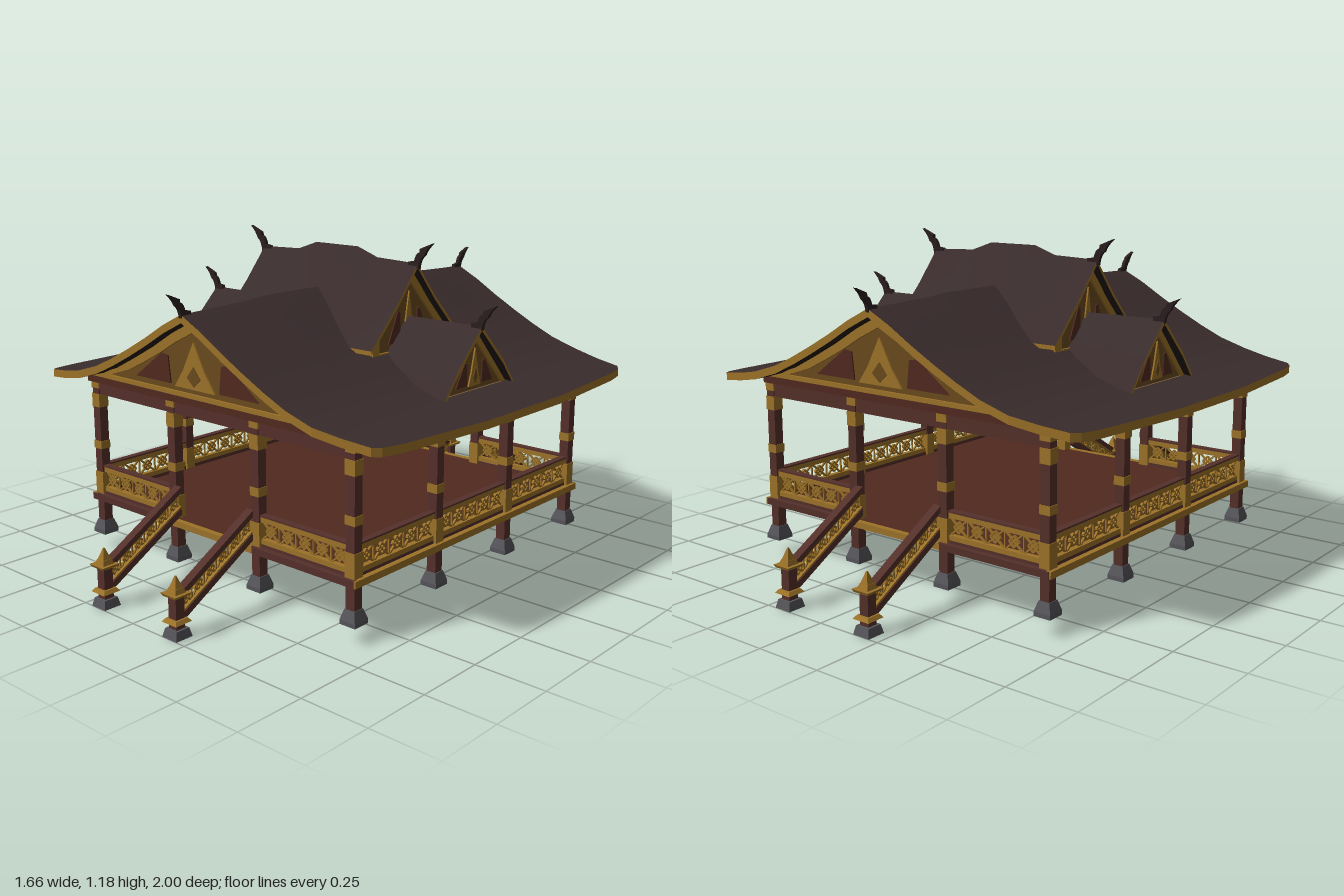
import * as THREE from 'three';
import { mergeGeometries, toCreasedNormals } from 'three/addons/utils/BufferGeometryUtils.js';

const mat = (name, color, double) => {
  const m = new THREE.MeshStandardMaterial({ color });
  m.name = name;
  if (double) m.side = THREE.DoubleSide;
  return m;
};

// Piecewise linear lookup, mirrored about zero
const lookup = (pts, t) => {
  t = Math.abs(t);
  for (let i = 1; i < pts.length; i++) {
    const [a, ya] = pts[i - 1], [b, yb] = pts[i];
    if (t <= b) return ya + (yb - ya) * (t - a) / (b - a);
  }
  return pts[pts.length - 1][1];
};
const mirrored = (half) => [...half.slice(1).reverse().map((v) => -v), ...half];
const box = (w, h, d, x, y, z) => new THREE.BoxGeometry(w, h, d).translate(x, y, z);

export function createModel() {
  const M = {
    roof: mat('dark roof tile', 0x3a2c2d),
    under: mat('roof underside', 0x241a16),
    gold: mat('gold trim', 0x9c7228, true),
    carved: mat('carved dull gold', 0x6a4a1e),
    wood: mat('brown wood', 0x55302a),
    floor: mat('red floor', 0x50291f),
    stone: mat('grey stone', 0x55555a),
    horn: mat('dark horn', 0x2a1e1f),
  };
  const model = new THREE.Group();
  model.name = 'pavilion';
  const add = (name, geos, m, parent = model) => {
    const mesh = new THREE.Mesh(Array.isArray(geos) ? mergeGeometries(geos) : geos, m);
    mesh.name = name;
    parent.add(mesh);
    return mesh;
  };
  const group = (name, parent = model) => {
    const g = new THREE.Group();
    g.name = name;
    parent.add(g);
    return g;
  };

  // Curved roof slab: tiled top, dark underside and gold rim
  const roofSlab = (name, us, vs, pos, thick) => {
    const g = group(name), nu = us.length, nv = vs.length;
    const sheet = (drop, flip) => {
      const p = [], idx = [];
      us.forEach((u) => vs.forEach((v) => { const [x, y, z] = pos(u, v); p.push(x, y - drop, z); }));
      for (let i = 0; i < nu - 1; i++) for (let j = 0; j < nv - 1; j++) {
        const a = i * nv + j, b = a + 1, c = a + nv, d = c + 1;
        idx.push(...(flip ? [a, c, b, b, c, d] : [a, b, c, b, d, c]));
      }
      const geo = new THREE.BufferGeometry();
      geo.setAttribute('position', new THREE.Float32BufferAttribute(p, 3));
      geo.setIndex(idx);
      return toCreasedNormals(geo, 0.35);
    };
    add('tiles', sheet(0, false), M.roof, g);
    add('soffit', sheet(thick, true), M.under, g);
    const ring = [...us.map((u) => [u, 1]), ...[...vs].reverse().map((v) => [1, v]),
      ...[...us].reverse().map((u) => [u, -1]), ...vs.map((v) => [-1, v])].map(([u, v]) => pos(u, v));
    const p = [];
    ring.forEach((a, i) => {
      const b = ring[(i + 1) % ring.length];
      if (a.every((c, k) => c === b[k])) return;
      const al = [a[0], a[1] - thick, a[2]], bl = [b[0], b[1] - thick, b[2]];
      p.push(...a, ...al, ...b, ...b, ...al, ...bl);
    });
    const rim = new THREE.BufferGeometry();
    rim.setAttribute('position', new THREE.Float32BufferAttribute(p, 3));
    rim.computeVertexNormals();
    add('rim', rim, M.gold, g);
    return g;
  };

  // Main roof with its ridge along z
  const mainProfile = [[0, 0.985], [0.1, 0.935], [0.2, 0.875], [0.3, 0.822], [0.4, 0.772], [0.5, 0.73], [0.62, 0.702], [0.83, 0.675]];
  const eaveX = [[0, 0.83], [0.3, 0.83], [0.85, 0.8], [0.96, 0.785], [1, 0.765]];
  const eaveZ = [[0, 0.755], [0.74, 0.752], [1, 0.715]];
  roofSlab('mainRoof', mirrored([0, 0.12, 0.24, 0.36, 0.48, 0.6, 0.74, 0.87, 1]),
    mirrored([0, 0.3, 0.49, 0.6, 0.85, 0.96, 1]), (u, v) => {
      const x = u * lookup(eaveX, v), z = v * lookup(eaveZ, u);
      const lift = lookup([[0, 0.015], [0.37, 0.015], [0.5, 0.005], [0.75, 0]], z) * Math.max(0, 1 - Math.abs(x) / 0.2);
      return [x, lookup(mainProfile, x) + lift, z];
    }, 0.028);

  // Two tiers of cross roofs with ridges along x
  const crossRoof = (name, profile, width, length, ridge) => {
    roofSlab(name, mirrored(profile.map(([d]) => d / width)), mirrored(ridge.map(([d]) => d / length)), (u, v) => {
      const lift = lookup(ridge, v * length) * (1 - Math.abs(u));
      return [u * width, lookup(profile, u * width) + lift, v * length];
    }, 0.015).rotation.y = Math.PI / 2;
  };
  crossRoof('upperCrossRoof', [[0, 1.105], [0.1, 0.985], [0.245, 0.835]], 0.245, 0.37,
    [[0, 0.037], [0.1, 0.037], [0.19, 0.006], [0.37, 0]]);
  crossRoof('lowerCrossRoof', [[0, 0.92], [0.13, 0.79], [0.2, 0.7]], 0.2, 0.645, [[0, 0], [0.645, 0]]);
  add('upperCrossWalls', [1, -1].map((s) => box(0.64, 0.07, 0.02, 0, 0.825, s * 0.19)), M.wood);

  // Carved gable: back plate, gold frame, side panels, centre ornament
  const pediment = (name, half, dist, angle) => {
    const g = group(name);
    g.rotation.y = angle;
    const base = half[0][1], apex = half[half.length - 1][1], w = half[0][0], h = apex - base;
    const pts = [...half, ...half.slice(0, -1).reverse().map(([x, y]) => [-x, y])];
    const poly = (list) => new THREE.Shape(list.map(([x, y]) => new THREE.Vector2(x, y)));
    const plate = (shape, depth, z) => new THREE.ExtrudeGeometry(shape, { depth, bevelEnabled: false }).translate(0, 0, z);
    const at = (list) => list.map(([x, y]) => [x * w, base + y * h]);
    add('gableBack', plate(poly(pts), 0.015, dist - 0.015), M.carved, g);
    const frame = poly(pts), cy = base + 0.3 * h;
    frame.holes.push(new THREE.Path(pts.map(([x, y]) => new THREE.Vector2(x * 0.82, cy + (y - cy) * 0.8))));
    add('gableFrame', plate(frame, 0.009, dist), M.gold, g);
    const side = [[0.22, 0.14], [0.55, 0.14], [0.3, 0.52], [0.24, 0.5]];
    add('sidePanels', [1, -1].map((s) => plate(poly(at(side.map(([x, y]) => [s * x, y]))), 0.005, dist)), M.floor, g);
    add('centreOrnament', plate(poly(at([[-0.18, 0.12], [0.18, 0.12], [0.1, 0.35], [0, 0.74], [-0.1, 0.35]])), 0.006, dist), M.gold, g);
    add('centreDiamond', plate(poly(at([[0, 0.16], [0.06, 0.27], [0, 0.42], [-0.06, 0.27]])), 0.003, dist + 0.006), M.carved, g);
  };
  // Upswept horn at each ridge end
  const horn = (x, y, angle, s) => {
    const sh = new THREE.Shape();
    sh.moveTo(-0.04, -0.012);
    sh.lineTo(0.008, -0.02);
    sh.quadraticCurveTo(0.012, 0.02, 0.034, 0.032);
    sh.quadraticCurveTo(0.04, 0.052, 0.07, 0.078);
    sh.quadraticCurveTo(0.035, 0.064, 0.014, 0.055);
    sh.lineTo(0.012, 0.042);
    sh.quadraticCurveTo(-0.005, 0.038, -0.012, 0.008);
    sh.lineTo(-0.04, 0.004);
    const geo = new THREE.ExtrudeGeometry(sh, { depth: 0.014, bevelEnabled: false, curveSegments: 4 });
    geo.translate(0, 0, -0.007).scale(s, s, 1).translate(x, y, 0).rotateY(angle);
    add('ridgeHorn', geo, M.horn);
  };
  for (const s of [0, Math.PI]) {
    pediment('mainGable', [[0.54, 0.695], [0.4, 0.742], [0.3, 0.792], [0.2, 0.845], [0.1, 0.905], [0, 0.955]], 0.7, s);
    pediment('upperGable', [[0.2, 0.79], [0.2, 0.865], [0, 1.085]], 0.33, s + Math.PI / 2);
    pediment('lowerGable', [[0.19, 0.69], [0, 0.9]], 0.615, s + Math.PI / 2);
    horn(0.75, 0.99, s + Math.PI / 2, 0.85);
    horn(0.37, 1.105, s, 0.95);
    horn(0.64, 0.925, s, 0.9);
  }

  // Deck, edge trim and roof beams
  const bays = [-0.62, -0.205, 0.205, 0.62];
  add('deck', box(1.28, 0.02, 1.28, 0, 0.203, 0), M.floor);
  add('sideDeckTrim', [1, -1].map((s) => box(0.02, 0.024, 1.3, s * 0.642, 0.204, 0)), M.gold);
  add('frontDeckTrim', [1, -1].flatMap((s) => [1, -1].map((t) => box(0.45, 0.024, 0.02, s * 0.42, 0.204, t * 0.642))), M.wood);
  add('entranceTrim', [1, -1].map((t) => box(0.4, 0.022, 0.022, 0, 0.204, t * 0.642)), M.gold);
  add('crossBeams', bays.map((z) => box(1.24, 0.065, 0.028, 0, 0.633, z)), M.wood);
  add('longBeams', bays.map((x) => box(0.028, 0.03, 1.24, x, 0.662, 0)), M.wood);
  add('gableFascia', [1, -1].map((s) => box(1.16, 0.03, 0.02, 0, 0.682, s * 0.69)), M.floor);

  // Perimeter posts on stone feet
  const foot = (w1, w2, h, x, y, z) =>
    new THREE.CylinderGeometry(w1 / Math.SQRT2, w2 / Math.SQRT2, h, 4).toNonIndexed().rotateY(Math.PI / 4).translate(x, y, z);
  const flat = (g) => { g.computeVertexNormals(); return g; };
  const posts = [], bands = [], feet = [];
  for (const x of bays) for (const z of bays) {
    if (Math.abs(x) < 0.5 && Math.abs(z) < 0.5) continue;
    posts.push(box(0.036, 0.57, 0.036, x, 0.39, z));
    for (const [y0, y1] of [[0.215, 0.3], [0.39, 0.42], [0.55, 0.6], [0.622, 0.685]])
      bands.push(box(0.041, y1 - y0, 0.041, x, (y0 + y1) / 2, z));
    feet.push(flat(foot(0.042, 0.064, 0.035, x, 0.0925, z)), flat(foot(0.064, 0.064, 0.015, x, 0.0675, z)));
  }
  add('posts', posts, M.wood);
  add('postBands', bands, M.gold);
  add('postFeet', feet, M.stone);

  // Lattice panel along local +x, starting at the origin
  const lattice = (len, h, cells) => {
    const out = [], c = len / cells;
    const bar = (x1, y1, x2, y2, w, d) => {
      const dx = x2 - x1, dy = y2 - y1;
      out.push(new THREE.BoxGeometry(Math.hypot(dx, dy), w, d).rotateZ(Math.atan2(dy, dx)).translate((x1 + x2) / 2, (y1 + y2) / 2, 0));
    };
    for (let i = 0; i < cells; i++) {
      const x = i * c, m = x + c / 2, r = h * 0.3;
      bar(x, 0, x + c, h, 0.006, 0.008);
      bar(x, h, x + c, 0, 0.006, 0.007);
      bar(x, 0, x, h, 0.005, 0.006);
      for (let k = 0; k < 4; k++) {
        const a = k * Math.PI / 2, b = a + Math.PI / 2;
        bar(m + r * Math.cos(a), h / 2 + r * Math.sin(a), m + r * Math.cos(b), h / 2 + r * Math.sin(b), 0.006, 0.01);
      }
    }
    return out;
  };

  // Balustrades: three bays on each side, two bays front and back
  const balustrade = (from, to, dist, angle) => {
    const g = group('balustrade'), len = to - from, mid = (from + to) / 2;
    g.rotation.y = angle;
    add('lattice', lattice(len, 0.065, 5).map((b) => b.translate(from, 0.24, dist)), M.gold, g);
    add('rails', [box(len, 0.02, 0.02, mid, 0.312, dist), box(len, 0.018, 0.02, mid, 0.234, dist)], M.gold, g);
    add('handrail', box(len, 0.006, 0.026, mid, 0.324, dist), M.wood, g);
    add('sill', box(len, 0.014, 0.022, mid, 0.219, dist), M.wood, g);
  };
  for (let k = 0; k < 4; k++) for (let i = 0; i < 3; i++) {
    if (k % 2 === 0 && i === 1) continue;
    balustrade(bays[i] + 0.018, bays[i + 1] - 0.018, 0.62, k * Math.PI / 2);
  }

  // Sloping stair rails ending in newel posts
  for (const angle of [0, Math.PI]) for (const x of [-0.18, 0.18]) {
    const g = group('stairRail');
    g.rotation.y = angle;
    const slope = new THREE.Matrix4().makeBasis(new THREE.Vector3(0, -0.58, 1), new THREE.Vector3(0, 1, 0), new THREE.Vector3(-1, 0, 0));
    slope.setPosition(x, 0.24, 0.635);
    const L = 0.32;
    add('stairLattice', lattice(L, 0.055, 6).map((b) => b.translate(0, 0.022, 0).applyMatrix4(slope)), M.gold, g);
    add('stairBeams', [box(L, 0.026, 0.03, L / 2, 0.009, 0), box(L, 0.022, 0.032, L / 2, 0.089, 0)].map((b) => b.applyMatrix4(slope)), M.wood, g);
    add('stairGoldLine', [box(L, 0.006, 0.026, L / 2, 0.025, 0), box(L, 0.006, 0.026, L / 2, 0.075, 0)].map((b) => b.applyMatrix4(slope)), M.gold, g);
    const z = 0.966;
    add('newelFoot', flat(foot(0.054, 0.068, 0.03, x, 0.015, z)), M.stone, g);
    add('newelPost', box(0.036, 0.13, 0.036, x, 0.09, z), M.wood, g);
    add('newelTrim', [foot(0.05, 0.068, 0.012, x, 0.058, z), foot(0.07, 0.06, 0.01, x, 0.145, z), foot(0.034, 0.046, 0.018, x, 0.158, z),
      foot(0.004, 0.032, 0.04, x, 0.186, z)].map(flat), M.gold, g);
  }
  return model;
}
